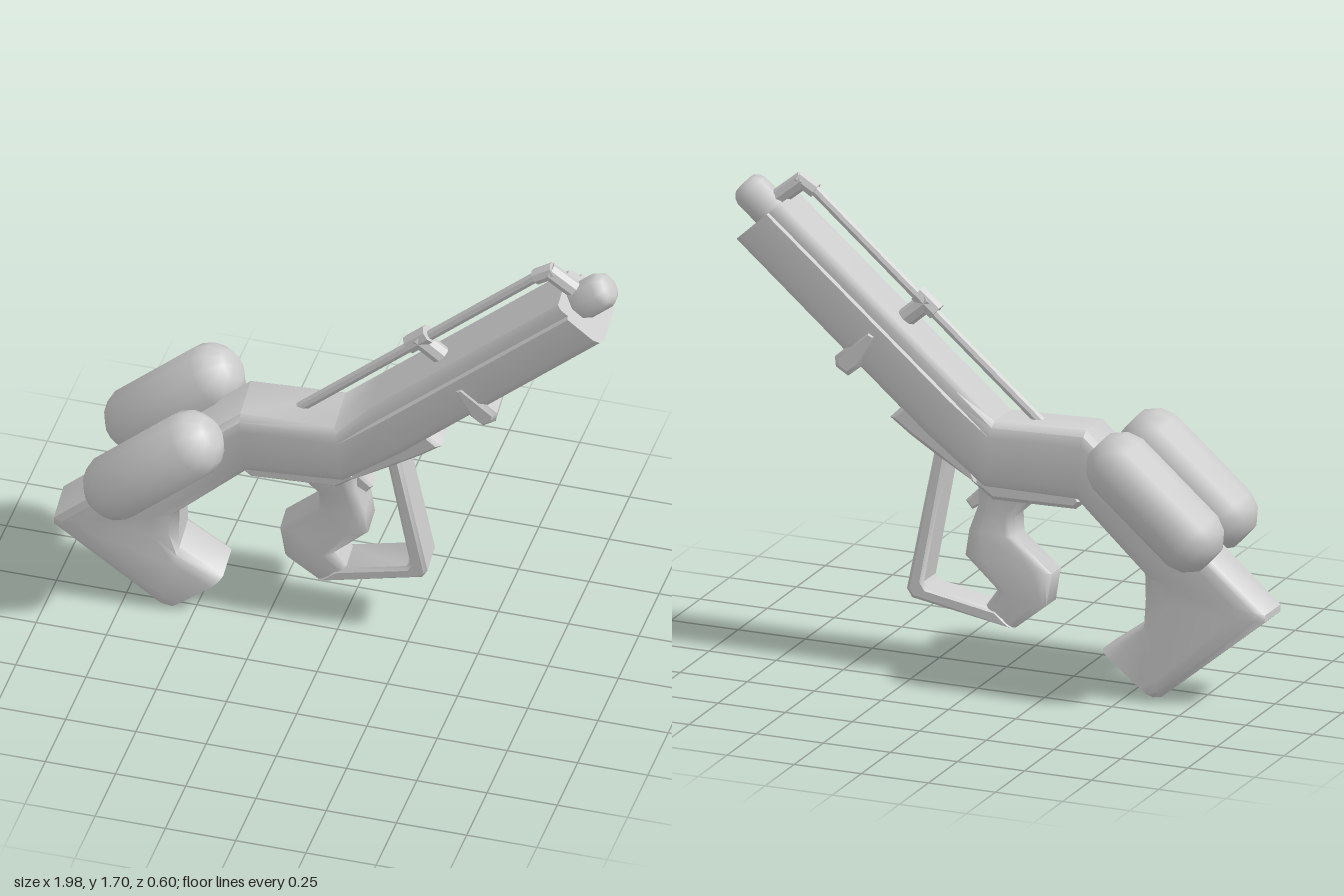
import * as THREE from 'three';
import { toCreasedNormals } from 'three/addons/utils/BufferGeometryUtils.js';

const material = new THREE.MeshStandardMaterial({ color: 0xcccccc });
const SLOPE = 0.714; // barrel angle in radians

function add(group, name, geometry, crease = 0.75) {
  const mesh = new THREE.Mesh(toCreasedNormals(geometry, crease), material);
  mesh.name = name;
  group.add(mesh);
  return mesh;
}

// Half cross-section from bottom to top: [height fraction, width fraction].
// "step" narrows the upper part to leave a ledge along the side.
function section(step) {
  const side = [[0, 0.66], [0.07, 0.9], [0.2, 1], [0.75, 1],
    [0.77, 1 - 0.14 * step], [0.92, 0.95 - 0.09 * step], [1, 0.75]];
  return [...side, ...side.map(([u, w]) => [u, -w]).reverse()];
}

// Loft through stations: [outer x, outer y, inner x, inner y, half depth, step]
function loft(stations) {
  const positions = [], index = [];
  const count = section(0).length;
  for (const [ox, oy, ix, iy, half, step = 0] of stations) {
    for (const [u, w] of section(step)) {
      positions.push(ix + (ox - ix) * u, iy + (oy - iy) * u, w * half);
    }
  }
  const last = (stations.length - 1) * count;
  for (let j = 0; j < count; j++) {
    const k = (j + 1) % count;
    for (let i = 0; i < last; i += count) {
      index.push(i + j, i + count + j, i + count + k, i + j, i + count + k, i + k);
    }
  }
  // Flat caps at both ends
  for (let j = 1; j < count - 1; j++) {
    index.push(0, j, j + 1, last, last + j + 1, last + j);
  }
  const g = new THREE.BufferGeometry();
  g.setAttribute('position', new THREE.Float32BufferAttribute(positions, 3));
  g.setIndex(index);
  return g;
}

// Bevelled plate centred on z = 0
function plate(points, half, bevel = 0.015) {
  const shape = new THREE.Shape(points.map(([x, y]) => new THREE.Vector2(x, y)));
  const g = new THREE.ExtrudeGeometry(shape, {
    depth: 2 * (half - bevel), bevelThickness: bevel, bevelSize: bevel,
    bevelOffset: -bevel, bevelSegments: 1,
  });
  return g.translate(0, 0, bevel - half);
}

// Round bar between two points in the x-y plane
function bar([x1, y1], [x2, y2], radius) {
  const dx = x2 - x1, dy = y2 - y1;
  const g = new THREE.CylinderGeometry(radius, radius, Math.hypot(dx, dy), 8);
  return g.rotateZ(Math.atan2(dy, dx) - Math.PI / 2).translate((x1 + x2) / 2, (y1 + y2) / 2, 0);
}

// Chamfered drum lying along the barrel direction
function drum(radius, length, chamfer, sides) {
  const h = length / 2;
  const profile = [[0, -h], [radius - chamfer, -h], [radius - chamfer * 0.3, -h + chamfer * 0.6],
    [radius, -h + chamfer * 1.4], [radius, h - chamfer * 1.4],
    [radius - chamfer * 0.3, h - chamfer * 0.6], [radius - chamfer, h], [0, h]];
  const g = new THREE.LatheGeometry(profile.map(([r, y]) => new THREE.Vector2(r, y)), sides);
  return g.rotateY(Math.PI / sides).rotateZ(SLOPE - Math.PI / 2);
}

export function createModel() {
  const model = new THREE.Group();
  model.name = 'blaster';
  const body = new THREE.Group();
  body.name = 'body';
  model.add(body);

  // Stock, receiver and barrel in one sweep
  add(body, 'stockAndBarrel', loft([
    [-0.6, 0, -0.41, 0.15, 0.105],
    [-0.63, 0.005, -0.56, 0.26, 0.108],
    [-0.995, 0.31, -0.56, 0.34, 0.11],
    [-0.995, 0.335, -0.555, 0.43, 0.11],
    [-0.33, 0.915, -0.31, 0.66, 0.115],
    [0, 0.91, 0.03, 0.67, 0.118],
    [0.13, 1.02, 0.24, 0.83, 0.12, 1],
    [0.795, 1.59, 0.952, 1.445, 0.122, 1],
  ]));

  // Under-barrel pieces
  add(body, 'underPlate', plate([[-0.33, 0.66], [-0.3, 0.632], [0, 0.632], [0.08, 0.69],
    [0.02, 0.74], [-0.28, 0.72]], 0.095));
  add(body, 'foreEnd', plate([[0.05, 0.68], [0.205, 0.77], [0.3, 0.83], [0.375, 0.885],
    [0.31, 0.95], [0.12, 0.86]], 0.106));
  add(body, 'barrelClamp', plate([[0.48, 1.055], [0.525, 1.017], [0.57, 1.045], [0.575, 1.08],
    [0.455, 1.19], [0.42, 1.17]], 0.126));

  // Grip, trigger and guard
  add(body, 'grip', loft([
    [0.06, 0.7, -0.16, 0.66, 0.08],
    [0.06, 0.6, -0.07, 0.57, 0.07],
    [0.09, 0.51, -0.075, 0.5, 0.072],
    [0.1, 0.42, -0.21, 0.385, 0.075],
    [-0.02, 0.31, -0.195, 0.27, 0.075],
    [0.02, 0.25, -0.085, 0.18, 0.07],
  ]), 1);
  add(body, 'trigger', plate([[0, 0.66], [0.02, 0.62], [0.09, 0.575], [0.115, 0.605],
    [0.07, 0.65], [0.06, 0.7]], 0.035, 0.008));
  add(body, 'triggerGuard', plate([[-0.08, 0.18], [0.285, 0.25], [0.305, 0.28], [0.215, 0.81],
    [0.17, 0.83], [0.11, 0.8], [0, 0.68], [0.05, 0.665], [0.15, 0.765], [0.175, 0.76],
    [0.245, 0.31], [0.23, 0.29], [-0.02, 0.24]], 0.075, 0.012));

  // Canister on each side of the stock
  for (const [side, name] of [[1, 'leftCanister'], [-1, 'rightCanister']]) {
    const canister = add(body, name, drum(0.122, 0.55, 0.065, 12), 1);
    canister.position.set(-0.618, 0.715, side * 0.178);
  }

  // Top rod with its brackets and the front knob
  add(body, 'topRod', bar([-0.14, 0.9], [0.73, 1.65], 0.019));
  add(body, 'rodCollar', bar([0.25, 1.247], [0.32, 1.307], 0.034));
  add(body, 'rodBracket', bar([0.275, 1.29], [0.4, 1.18], 0.034));
  add(body, 'rodElbow', bar([0.7, 1.625], [0.765, 1.665], 0.029));
  add(body, 'rodEnd', bar([0.745, 1.66], [0.86, 1.565], 0.031));
  add(body, 'frontKnob', drum(0.066, 0.17, 0.025, 8), 1).position.set(0.893, 1.567, 0);

  // Slight roll and yaw of the whole body
  body.rotation.set(0.076, 0.077, 0);
  body.position.set(0, 0.008, -0.101);
  return model;
}
